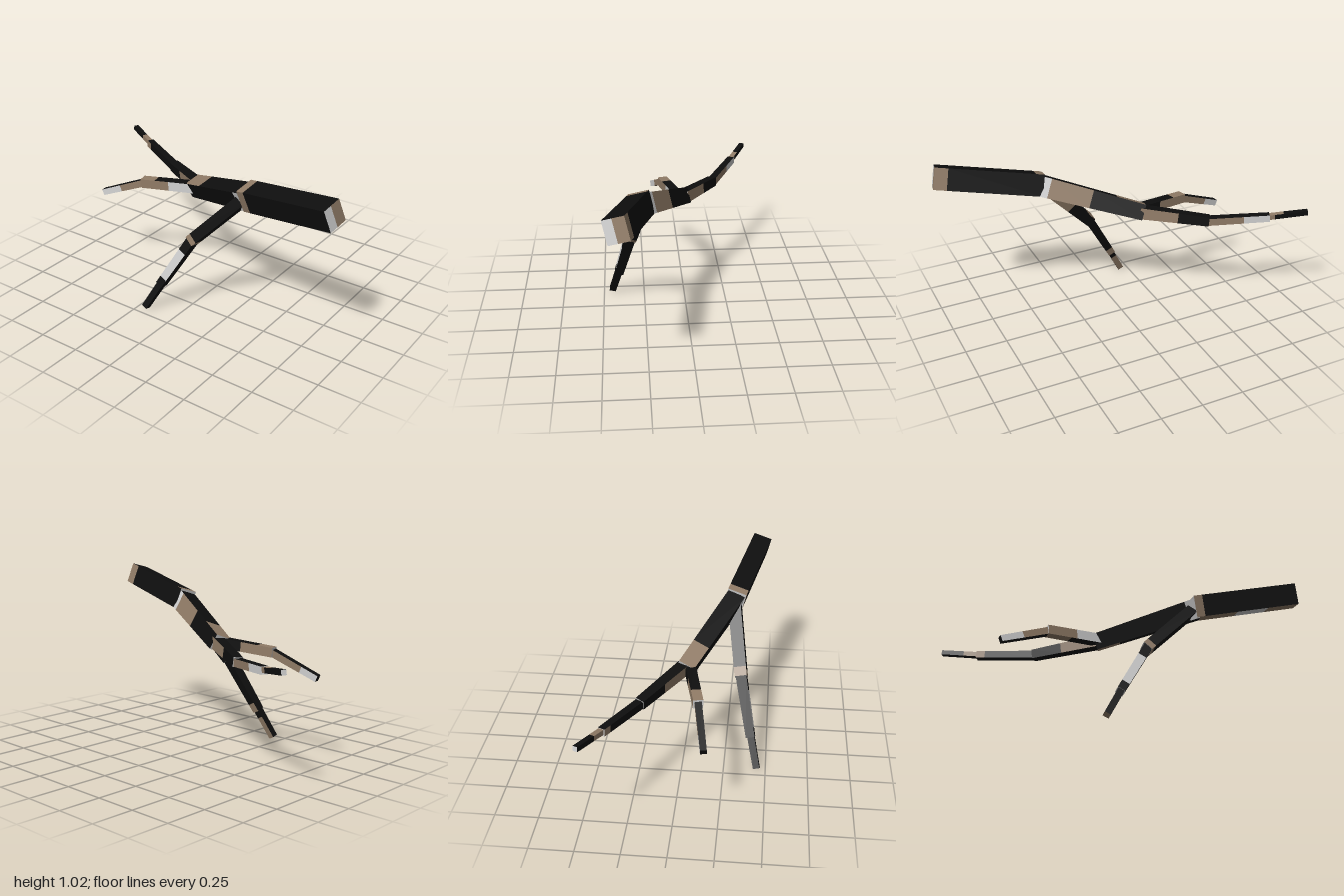
import * as THREE from 'three';

const material = (name, color) => {
  const m = new THREE.MeshStandardMaterial({ color });
  m.name = name;
  return m;
};

// Bark colours, keyed by the letter used in the band strings
const KEYS = ['k', 't', 'w'];
const MATERIALS = [
  material('blackBark', 0x0e0e0e),
  material('tanBark', 0x917c67),
  material('paleBark', 0xd2d2d2),
];

// Tapered four-sided piece of branch; each face carries colour bands along its length.
// A band string such as 't12 k100' means tan up to 12 %, then black to the end.
function segment({ name, from, to, side, start, end, top = 'k100', right = 'k100',
  bottom = 'k100', left = 'k100', startCap = 'w100', endCap = 'w100' }) {
  const p0 = new THREE.Vector3(...from), p1 = new THREE.Vector3(...to);
  const axis = p1.clone().sub(p0).normalize();
  const s = new THREE.Vector3(...side);
  s.addScaledVector(axis, -s.dot(axis)).normalize();
  const u = new THREE.Vector3().crossVectors(s, axis);

  const ring = (p, [w, h]) => [[-1, 1], [1, 1], [1, -1], [-1, -1]].map(([a, b]) =>
    p.clone().addScaledVector(s, a * w / 2).addScaledVector(u, b * h / 2));
  const r0 = ring(p0, start), r1 = ring(p1, end);

  // Split the quad between two edges into bands
  const buckets = [[], [], []];
  const strip = (a0, b0, a1, b1, bands) => {
    let t0 = 0;
    for (const band of bands.split(' ')) {
      const t1 = Number(band.slice(1)) / 100;
      const a = a0.clone().lerp(a1, t0), b = b0.clone().lerp(b1, t0);
      const c = b0.clone().lerp(b1, t1), d = a0.clone().lerp(a1, t1);
      buckets[KEYS.indexOf(band[0])].push(a, b, c, a, c, d);
      t0 = t1;
    }
  };
  [top, right, bottom, left].forEach((bands, i) => {
    const j = (i + 1) % 4;
    strip(r0[i], r0[j], r1[i], r1[j], bands);
  });
  strip(r0[0], r0[3], r0[1], r0[2], startCap);
  strip(r1[0], r1[1], r1[3], r1[2], endCap);

  const geometry = new THREE.BufferGeometry().setFromPoints(buckets.flat());
  let offset = 0;
  buckets.forEach((points, i) => {
    if (points.length) geometry.addGroup(offset, points.length, i);
    offset += points.length;
  });
  geometry.computeVertexNormals();
  const mesh = new THREE.Mesh(geometry, MATERIALS);
  mesh.name = name;
  return mesh;
}

export function createModel() {
  const rolled = [1, 0.24, 0], level = [1, 0.03, 0], drooped = [1, -0.18, 0];

  const limbs = {
    // Thick limb and its long thinning tip
    mainBranch: [
      { name: 'trunkBase', from: [-0.4, 0.948, 0.982], to: [-0.265, 0.836, 0.385], side: rolled,
        start: [0.117, 0.127], end: [0.117, 0.13], top: 'k92 t100', right: 't12 k100',
        bottom: 't30 w60 t100', left: 'k92 t100', startCap: 'w45 t100' },
      { name: 'trunkMiddle', from: [-0.265, 0.832, 0.4], to: [-0.014, 0.652, -0.148], side: rolled,
        start: [0.108, 0.12], end: [0.098, 0.095], top: 'k72 t100', right: 'w9 t49 k100',
        bottom: 'k78 t100', left: 'w9 k100' },
      { name: 'upperBranch', from: [-0.01, 0.658, -0.13], to: [0.202, 0.621, -0.475], side: level,
        start: [0.068, 0.07], end: [0.055, 0.055], right: 't55 k100', left: 't55 k100' },
      { name: 'outerBranch', from: [0.2, 0.62, -0.47], to: [0.357, 0.646, -0.79], side: level,
        start: [0.047, 0.045], end: [0.042, 0.042], right: 't58 w100', left: 'k85 t100' },
      { name: 'branchTip', from: [0.352, 0.648, -0.78], to: [0.452, 0.679, -0.99], side: level,
        start: [0.031, 0.03], end: [0.029, 0.028], top: 't40 k100', right: 't18 k100',
        left: 't40 k100' },
    ],
    // Long side branch hanging to the ground
    loweredBranch: [
      { name: 'loweredBase', from: [-0.265, 0.825, 0.38], to: [-0.33, 0.492, 0.062], side: drooped,
        start: [0.077, 0.062], end: [0.073, 0.062], top: 'k88 t100', right: 't55 k100',
        bottom: 'k93 t100', left: 'k92 t100' },
      { name: 'loweredMiddle', from: [-0.33, 0.498, 0.068], to: [-0.403, 0.18, -0.113], side: drooped,
        start: [0.064, 0.052], end: [0.053, 0.046], right: 'k85 t100', left: 'k25 w85 k100' },
      { name: 'loweredTip', from: [-0.402, 0.195, -0.104], to: [-0.447, 0.017, -0.2], side: drooped,
        start: [0.042, 0.038], end: [0.039, 0.036], right: 't10 k30 t100', endCap: 't100' },
    ],
    // Short side twig
    sideTwig: [
      { name: 'twigBase', from: [-0.035, 0.66, -0.11], to: [-0.116, 0.632, -0.465], side: level,
        start: [0.06, 0.058], end: [0.056, 0.055], top: 'k74 t100', right: 'k45 t100',
        bottom: 'k60 t100', left: 'w50 t100' },
      { name: 'twigTip', from: [-0.115, 0.63, -0.455], to: [-0.167, 0.513, -0.735], side: level,
        start: [0.04, 0.042], end: [0.036, 0.037], right: 't65 w100', left: 't55 w100',
        endCap: 'k100' },
    ],
  };

  const model = new THREE.Group();
  model.name = 'branch';
  for (const [name, segments] of Object.entries(limbs)) {
    const limb = new THREE.Group();
    limb.name = name;
    limb.add(...segments.map(segment));
    model.add(limb);
  }
  return model;
}
